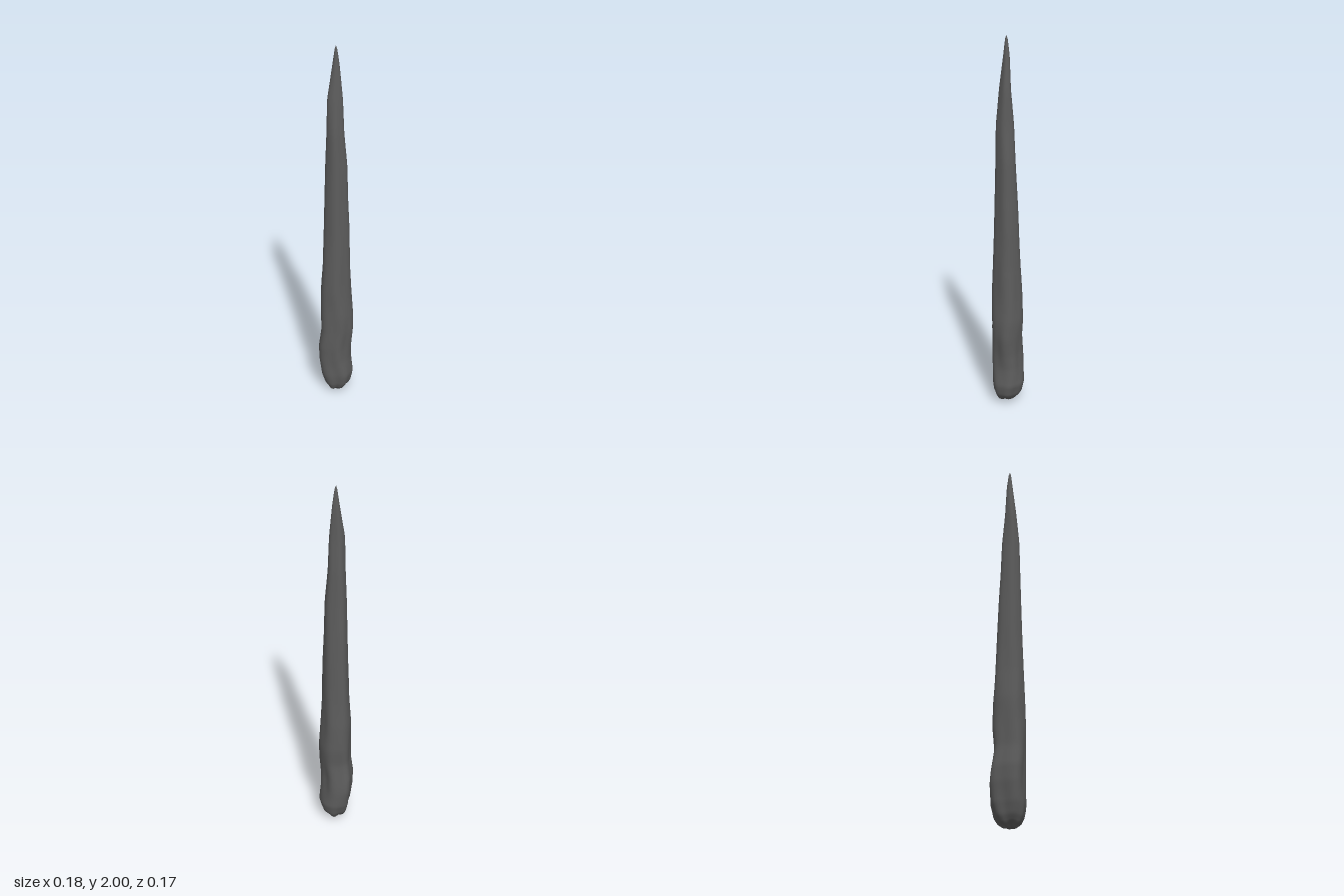
import * as THREE from 'three';

// Height, then the extent of the cross-section: x min, x max, z min, z max
const SECTIONS = [
  [0.012, -0.026, 0.022, -0.024, 0.040],
  [0.03, -0.045, 0.056, -0.052, 0.062],
  [0.06, -0.062, 0.078, -0.072, 0.075],
  [0.12, -0.078, 0.090, -0.085, 0.083],
  [0.22, -0.091, 0.080, -0.083, 0.085],
  [0.30, -0.093, 0.080, -0.078, 0.086],
  [0.40, -0.080, 0.089, -0.071, 0.085],
  [0.50, -0.080, 0.089, -0.077, 0.087],
  [0.65, -0.080, 0.079, -0.072, 0.086],
  [0.80, -0.070, 0.071, -0.062, 0.080],
  [1.00, -0.064, 0.068, -0.055, 0.073],
  [1.20, -0.059, 0.059, -0.046, 0.068],
  [1.37, -0.055, 0.055, -0.037, 0.064],
  [1.55, -0.048, 0.039, -0.030, 0.061],
  [1.73, -0.044, 0.032, -0.014, 0.045],
  [1.90, -0.019, 0.016, -0.007, 0.025],
  [1.98, -0.008, 0.005, 0.003, 0.016],
];
const SIDES = 40;
const ROWS = 90;

// Smooth bump around an angle and a height
function lump(a, y, angle, height, width, spread, size) {
  const d = Math.atan2(Math.sin(a - angle), Math.cos(a - angle));
  return size * Math.exp(-((d / width) ** 2) - ((y - height) / spread) ** 2);
}

// Relative radius: long drip ridges, with a lumpier base
function relief(a, y) {
  const base = Math.exp(-y * 2.2);
  return 1
    + 0.035 * Math.sin(3 * a + 1.1 * y + 0.6)
    + 0.03 * Math.sin(5 * a - 1.7 * y + 2.0)
    + 0.05 * base * Math.sin(7 * a + 5 * y) * Math.cos(9 * y)
    + 0.04 * base * Math.sin(4 * a - 17 * y)
    + lump(a, y, -2.3, 0.25, 0.4, 0.12, 0.2)
    + lump(a, y, 2.6, 0.3, 0.4, 0.15, 0.15)
    + lump(a, y, 2.6, 1.72, 0.5, 0.2, 0.2);
}

// Extents at a height, eased between the listed sections
function sectionAt(y) {
  let i = 0;
  while (i < SECTIONS.length - 2 && SECTIONS[i + 1][0] < y) i++;
  const p = SECTIONS[i], q = SECTIONS[i + 1];
  const t = (y - p[0]) / (q[0] - p[0]);
  return p.map((v, k) => v + (q[k] - v) * t);
}

function spikeGeometry() {
  const positions = [], indices = [];
  const low = SECTIONS[0][0], high = SECTIONS[SECTIONS.length - 1][0];
  for (let r = 0; r <= ROWS; r++) {
    const y = low + (high - low) * (r / ROWS) ** 1.5;
    const [, x0, x1, z0, z1] = sectionAt(y);
    const ring = [];
    for (let s = 0; s < SIDES; s++) {
      const a = (s / SIDES) * Math.PI * 2;
      const k = relief(a, y);
      ring.push([Math.cos(a) * k, Math.sin(a) * k]);
    }
    // Fit the uneven ring to its section
    const xs = ring.map(p => p[0]), zs = ring.map(p => p[1]);
    const ax = Math.min(...xs), bx = Math.max(...xs);
    const az = Math.min(...zs), bz = Math.max(...zs);
    ring.forEach(([x, z], s) => {
      const knob = 0.008 * Math.exp(-y * 25) * Math.sin((s / SIDES) * Math.PI * 10);
      positions.push(
        x0 + (x1 - x0) * (x - ax) / (bx - ax),
        y + knob,
        z0 + (z1 - z0) * (z - az) / (bz - az));
    });
  }
  for (let r = 0; r < ROWS; r++) {
    for (let s = 0; s < SIDES; s++) {
      const n = (s + 1) % SIDES;
      const a = r * SIDES + s, b = r * SIDES + n;
      const c = a + SIDES, d = b + SIDES;
      indices.push(a, c, b, b, c, d);
    }
  }
  // Close the blunt foot and the tip
  const foot = positions.length / 3, tip = foot + 1;
  positions.push(-0.006, 0, 0.02, -0.002, 2, 0.01);
  for (let s = 0; s < SIDES; s++) {
    const n = (s + 1) % SIDES, top = ROWS * SIDES;
    indices.push(foot, s, n, tip, top + n, top + s);
  }
  const geometry = new THREE.BufferGeometry();
  geometry.setAttribute('position', new THREE.Float32BufferAttribute(positions, 3));
  geometry.setIndex(indices);
  geometry.computeVertexNormals();
  return geometry;
}

export function createModel() {
  const group = new THREE.Group();
  group.name = 'rockSpike';
  const stone = new THREE.MeshStandardMaterial({ color: 0x5c5c5c });
  stone.name = 'dark grey stone';
  const spike = new THREE.Mesh(spikeGeometry(), stone);
  spike.name = 'spike';
  group.add(spike);
  return group;
}
